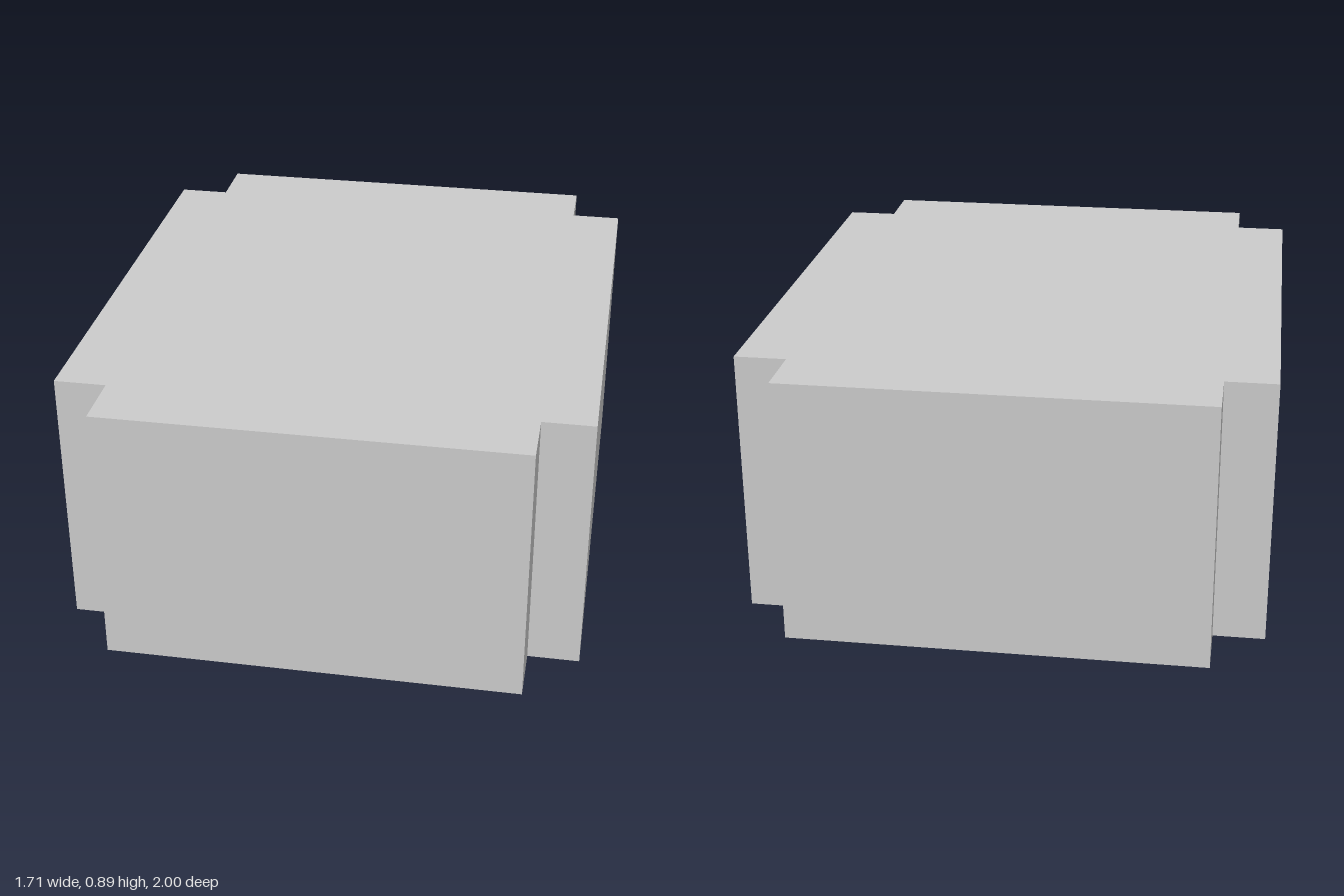
import * as THREE from 'three';

const HEIGHT = 0.89;
const OUTER_X = 0.855, INNER_X = 0.685; // half widths across x
const OUTER_Z = 1, INNER_Z = 0.8; // half depths across z

export function createModel() {
  const group = new THREE.Group();
  group.name = 'notchedBlock';

  // Rectangular plan with a square-cut notch at each corner
  const corner = [[OUTER_X, INNER_Z], [INNER_X, INNER_Z], [INNER_X, OUTER_Z]];
  const mirrored = [...corner].reverse();
  const outline = [
    ...corner,
    ...mirrored.map(([x, z]) => [-x, z]),
    ...corner.map(([x, z]) => [-x, -z]),
    ...mirrored.map(([x, z]) => [x, -z]),
  ].map(([x, z]) => new THREE.Vector2(x, z));

  // Extrude the plan upward from the ground
  const geometry = new THREE.ExtrudeGeometry(new THREE.Shape(outline), {
    depth: HEIGHT,
    bevelEnabled: false,
  });
  geometry.rotateX(-Math.PI / 2);

  const body = new THREE.Mesh(
    geometry,
    new THREE.MeshStandardMaterial({ color: 0xcccccc, flatShading: true }),
  );
  body.name = 'body';
  group.add(body);
  return group;
}
